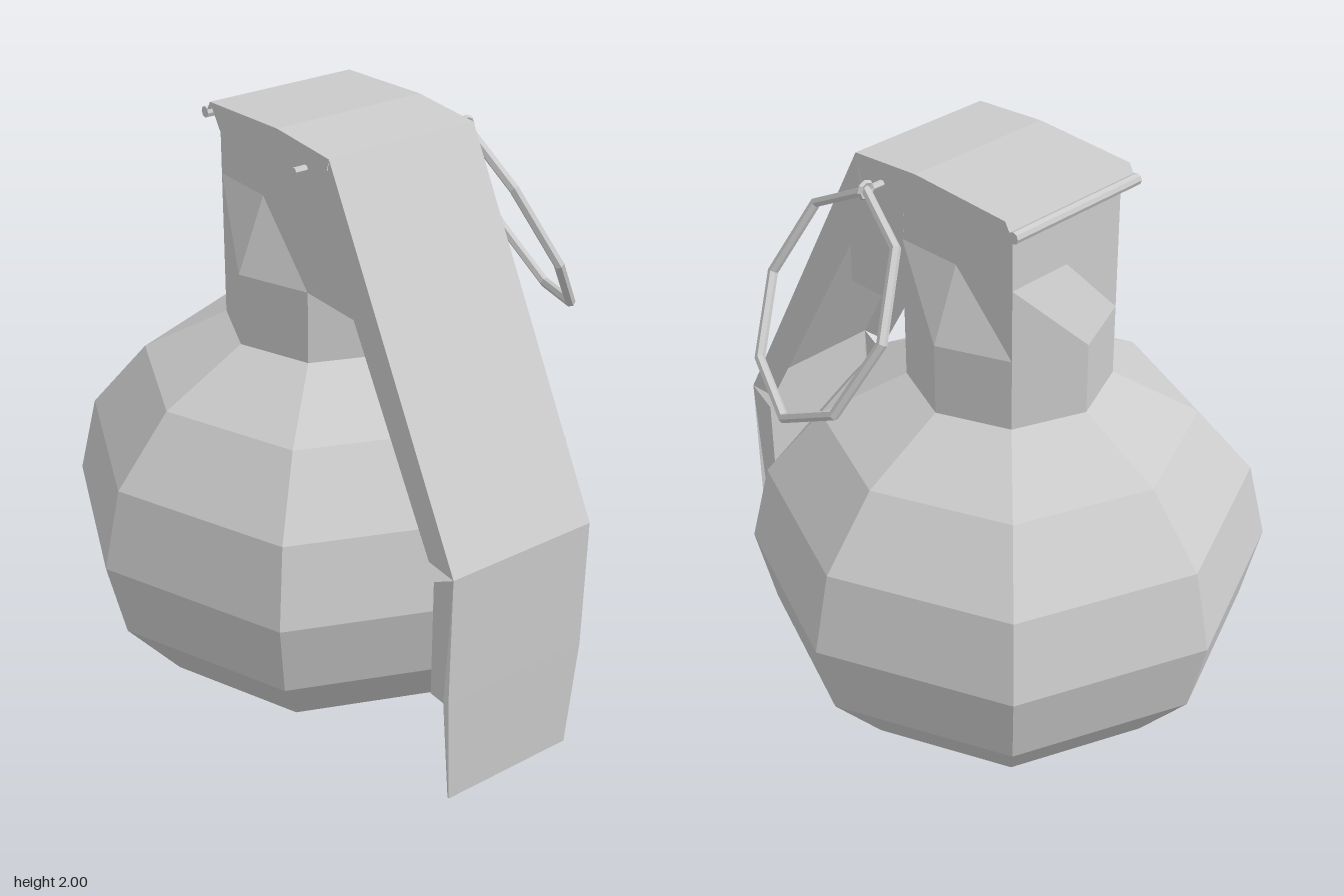
import * as THREE from 'three';

const CZ = -0.065; // axis of the round body
const HALF = 0.255; // half width of the lever

const solid = new THREE.MeshStandardMaterial({ color: 0xcccccc, flatShading: true });
const sheet = new THREE.MeshStandardMaterial({ color: 0xcccccc, flatShading: true, side: THREE.DoubleSide });

function add(parent, name, geometry, material = solid) {
  const mesh = new THREE.Mesh(geometry, material);
  mesh.name = name;
  parent.add(mesh);
  return mesh;
}

const points = (list) => list.map(([a, b]) => new THREE.Vector2(a, b));

// The lever narrows slightly towards its lower tip
const leverHalf = (y) => HALF - 0.025 * Math.max(0, (0.5 - y) / 0.37);

// Sheet spanning the lever's width along a (z, y) path
function ribbon(path) {
  const geometry = new THREE.PlaneGeometry(2, 1, 1, path.length - 1);
  const pos = geometry.attributes.position;
  for (let i = 0; i < pos.count; i++) {
    const [z, y] = path[Math.floor(i / 2)];
    pos.setXYZ(i, Math.sign(pos.getX(i)) * leverHalf(y), y, z);
  }
  geometry.computeVertexNormals();
  return geometry;
}

// Flat side flange of the lever from a (z, y) outline
function flange(outline, side) {
  const geometry = new THREE.ShapeGeometry(new THREE.Shape(points(outline)));
  const pos = geometry.attributes.position;
  for (let i = 0; i < pos.count; i++) {
    pos.setXYZ(i, side * leverHalf(pos.getY(i)), pos.getY(i), pos.getX(i));
  }
  geometry.computeVertexNormals();
  return geometry;
}

export function createModel() {
  const model = new THREE.Group();
  model.name = 'leveredCanister';

  // Eight-sided round body
  const body = new THREE.LatheGeometry(points([
    [0, 0.005], [0.315, 0.055], [0.585, 0.2], [0.765, 0.42], [0.825, 0.675],
    [0.765, 0.93], [0.585, 1.145], [0.315, 1.29], [0, 1.29],
  ]), 8);
  add(model, 'body', body).position.z = CZ;

  // Neck: octagonal at the base, clamped to a square above
  const neck = new THREE.LatheGeometry(points([
    [0.315, 1.28], [0.315, 1.52], [0.315, 1.75], [0.315, 1.96], [0, 1.96],
  ]), 8);
  const pos = neck.attributes.position;
  for (let i = 0; i < pos.count; i++) {
    if (pos.getY(i) < 1.6) continue;
    pos.setX(i, THREE.MathUtils.clamp(pos.getX(i), -0.223, 0.223));
    pos.setZ(i, THREE.MathUtils.clamp(pos.getZ(i), -0.223, 0.223));
  }
  add(model, 'neck', neck).position.z = CZ;

  // Block on the front of the neck, extruded across x
  const block = new THREE.ExtrudeGeometry(new THREE.Shape(points([
    [-0.15, 1.52], [-0.15, 1.93], [-0.29, 1.93], [-0.39, 1.79], [-0.39, 1.52],
  ])), { depth: 0.446, bevelEnabled: false });
  block.translate(0, 0, -0.223).rotateY(Math.PI / 2);
  add(model, 'frontBlock', block);

  // Bent sheet lever with side flanges and a rolled rear edge
  const lever = new THREE.Group();
  lever.name = 'lever';
  model.add(lever);
  add(lever, 'leverPlate', ribbon([
    [-0.31, 1.945], [-0.29, 1.98], [0.06, 2], [0.31, 1.985],
    [0.895, 0.93], [0.892, 0.5], [0.88, 0.13],
  ]), sheet);
  const flanges = {
    topFlange: [[-0.29, 1.98], [-0.24, 1.905], [0.05, 1.925], [0.265, 1.835], [0.285, 1.89], [0.31, 1.985], [0.06, 2]],
    slopeFlange: [[0.31, 1.985], [0.295, 1.89], [0.265, 1.82], [0.785, 0.935], [0.895, 0.93]],
    lowerFlange: [[0.895, 0.93], [0.81, 0.88], [0.81, 0.49], [0.868, 0.49], [0.874, 0.13], [0.88, 0.13], [0.892, 0.5]],
  };
  for (const side of [-1, 1]) {
    for (const [name, outline] of Object.entries(flanges)) {
      add(lever, name, flange(outline, side), sheet);
    }
  }
  const roll = new THREE.CylinderGeometry(0.018, 0.018, HALF * 2, 8).rotateZ(Math.PI / 2);
  add(lever, 'rolledEdge', roll).position.set(0, 1.94, -0.32);

  // Cross pin with an eye that holds the ring
  const pin = new THREE.CylinderGeometry(0.011, 0.011, 0.6, 6).rotateZ(Math.PI / 2);
  add(model, 'pin', pin).position.set(0.005, 1.925, 0.2);
  const eye = add(model, 'pinEye', new THREE.TorusGeometry(0.023, 0.009, 5, 8));
  eye.position.set(0.322, 1.928, 0.197);

  // Tilted eight-sided pull ring
  const ax = new THREE.Vector3(-0.18, 0.305, 0).normalize();
  const ay = new THREE.Vector3(0.085, 0.05, -0.338).normalize();
  const az = new THREE.Vector3().crossVectors(ax, ay).normalize();
  const ring = add(model, 'pullRing', new THREE.TorusGeometry(0.351, 0.016, 6, 8));
  ring.quaternion.setFromRotationMatrix(new THREE.Matrix4().makeBasis(ax, ay, az));
  ring.position.set(0.5, 1.625, 0.193);

  return model;
}
